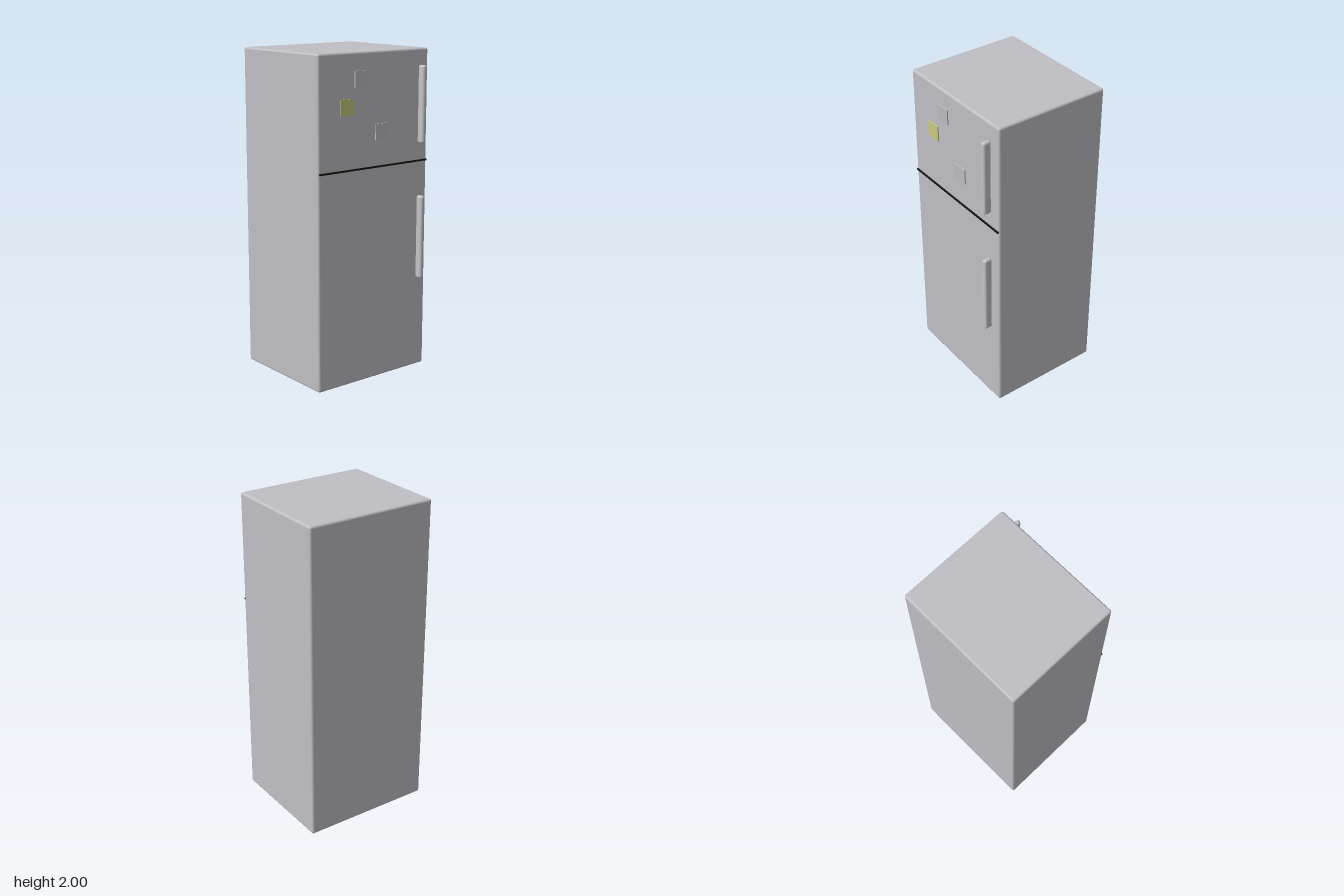
import * as THREE from 'three';
import { RoundedBoxGeometry } from 'three/addons/geometries/RoundedBoxGeometry.js';

function makeMaterial(name, color) {
  const material = new THREE.MeshStandardMaterial({ color });
  material.name = name;
  return material;
}

export function createModel() {
  const steel = makeMaterial('steel', 0xc0bfc4);
  const handleSteel = makeMaterial('handle steel', 0xc4c4c8);
  const black = makeMaterial('black', 0x151518);
  const yellow = makeMaterial('yellow', 0xc8c880);
  const grey = makeMaterial('grey', 0xbcbbc1);

  const fridge = new THREE.Group();
  fridge.name = 'refrigerator';

  const add = (name, geometry, material, x, y, z) => {
    const mesh = new THREE.Mesh(geometry, material);
    mesh.name = name;
    mesh.position.set(x, y, z);
    fridge.add(mesh);
  };

  // Cabinet with softly rounded edges
  add('cabinet', new RoundedBoxGeometry(0.838, 2, 0.732, 3, 0.014), steel, 0, 1, -0.031);

  // Dark gap between the freezer and fridge doors
  add('doorSeam', new THREE.BoxGeometry(0.828, 0.01, 0.009), black, 0, 1.32, 0.3385);

  // Upright rounded door handles: [name, bottom, top]
  for (const [name, bottom, top] of [
    ['freezerHandle', 1.43, 1.902],
    ['fridgeHandle', 0.583, 1.107],
  ]) {
    const geometry = new RoundedBoxGeometry(0.032, top - bottom, 0.052, 4, 0.0145);
    add(name, geometry, handleSteel, 0.345, (bottom + top) / 2, 0.369);
  }

  // Square notes on the freezer door
  for (const [name, material, x, y] of [
    ['upperNote', grey, -0.107, 1.845],
    ['yellowNote', yellow, -0.211, 1.687],
    ['lowerNote', grey, 0.052, 1.527],
  ]) {
    add(name, new THREE.BoxGeometry(0.096, 0.096, 0.008), material, x, y, 0.338);
  }

  return fridge;
}
